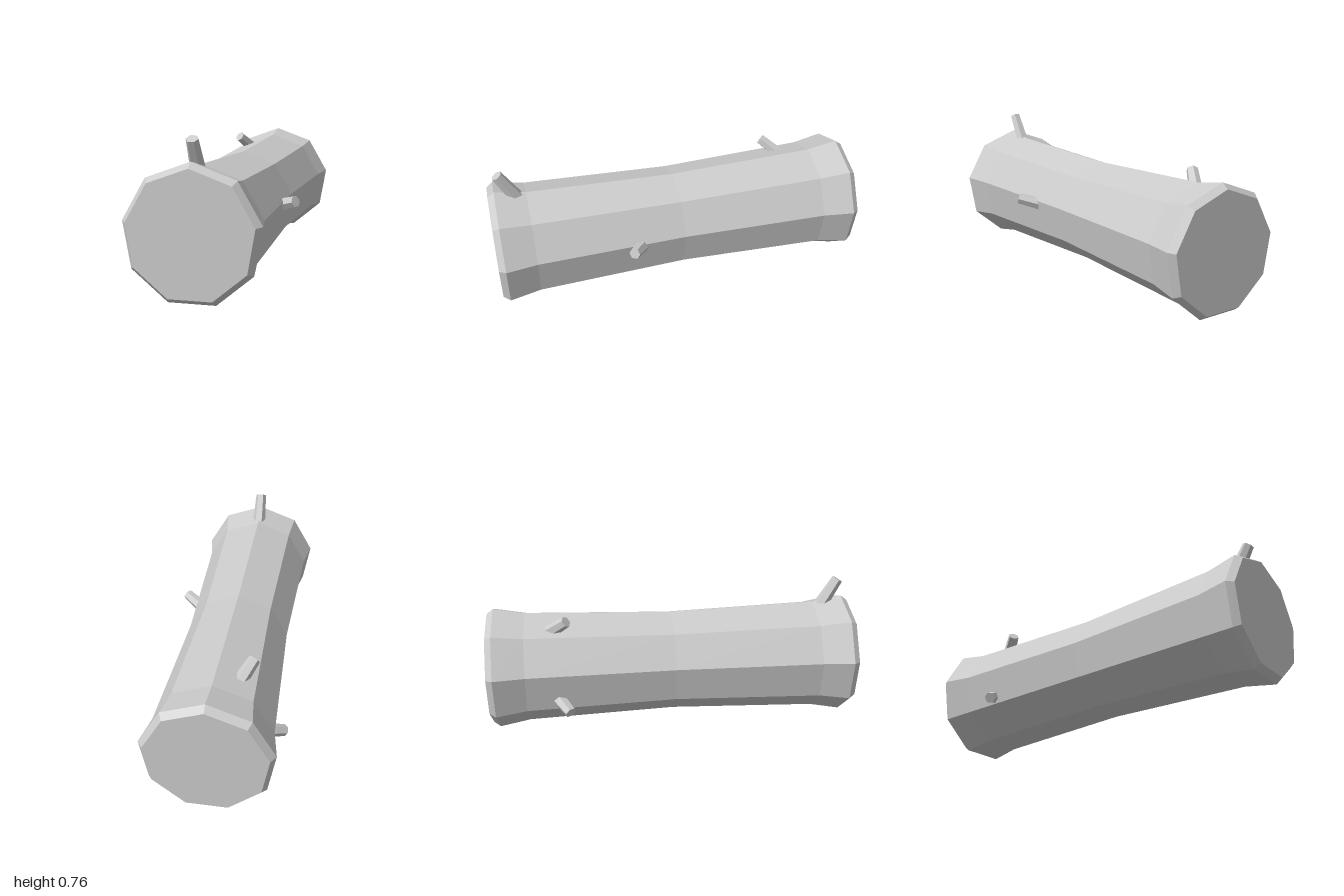
import * as THREE from 'three';

export function createModel() {
  const model = new THREE.Group();
  const material = new THREE.MeshStandardMaterial({ color: 0xcccccc, flatShading: true });

  // Nine-sided trunk, waisted in the middle with bevelled, flared ends
  const profile = [
    [0, -1], [0.309, -1], [0.336, -0.965], [0.306, -0.8], [0.28, 0],
    [0.306, 0.8], [0.336, 0.965], [0.309, 1], [0, 1],
  ].map(([r, z]) => new THREE.Vector2(r, z));
  const trunkGeometry = new THREE.LatheGeometry(profile, 9, Math.PI);
  trunkGeometry.rotateX(Math.PI / 2);
  const trunk = new THREE.Mesh(trunkGeometry, material);
  trunk.name = 'trunk';
  trunk.position.set(-0.01, 0.319, 0);
  model.add(trunk);

  // Tapered six-sided branch stub, placed by its tip and pointing direction
  const length = 0.2;
  const stubGeometry = new THREE.CylinderGeometry(0.0305, 0.04, length, 6);
  stubGeometry.rotateY(Math.PI / 6);
  stubGeometry.translate(0, -length / 2, 0);
  const up = new THREE.Vector3(0, 1, 0);
  const addStub = (name, tip, direction) => {
    const stub = new THREE.Mesh(stubGeometry, material);
    stub.name = name;
    stub.position.set(...tip);
    stub.quaternion.setFromUnitVectors(up, new THREE.Vector3(...direction).normalize());
    model.add(stub);
  };
  addStub('topBranchStub', [-0.01, 0.754, 0.937], [0, 0.86, 0.5]);
  addStub('upperRightBranchStub', [-0.18, 0.629, -0.574], [-0.45, 0.57, 0.7]);
  addStub('leftBranchStub', [0.343, 0.378, 0.3], [0.79, 0.26, 0.55]);
  addStub('lowerRightBranchStub', [-0.342, 0.177, -0.57], [-0.76, -0.38, 0.53]);

  return model;
}
